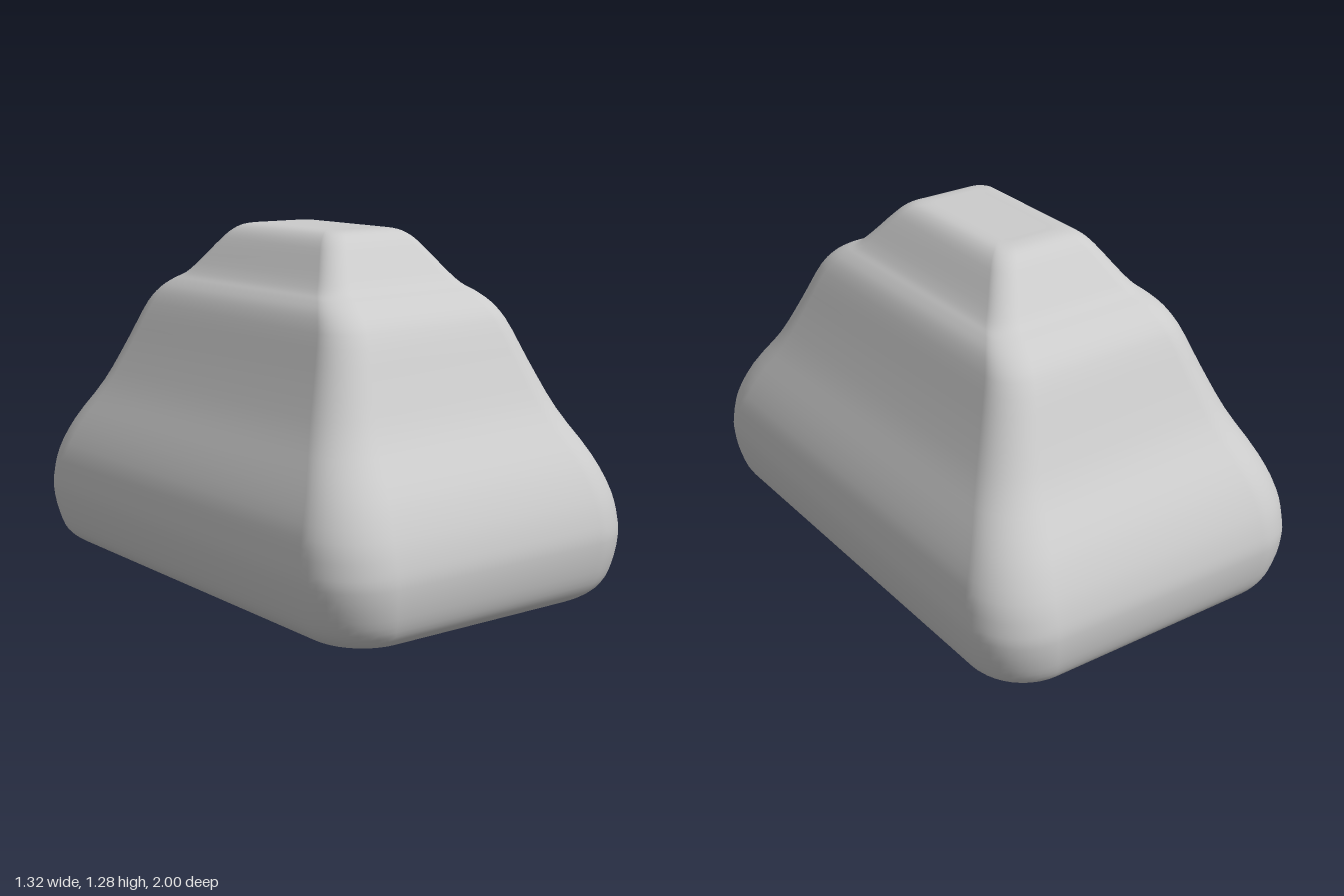
import * as THREE from 'three';

// Profile from base to crown: height, half width, half depth, corner radius
const PROFILE = [
  [0.003, 0.36, 0.72, 0.12], [0.004, 0.44, 0.79, 0.14], [0.012, 0.51, 0.86, 0.16],
  [0.035, 0.57, 0.92, 0.18], [0.075, 0.62, 0.96, 0.2], [0.14, 0.645, 0.985, 0.21],
  [0.24, 0.661, 1, 0.215], [0.3, 0.659, 0.995, 0.215], [0.39, 0.645, 0.97, 0.205],
  [0.51, 0.598, 0.91, 0.185], [0.67, 0.518, 0.79, 0.155], [0.83, 0.452, 0.706, 0.135],
  [0.98, 0.395, 0.63, 0.115], [1.035, 0.366, 0.58, 0.105], [1.07, 0.335, 0.525, 0.09],
  [1.095, 0.307, 0.475, 0.08], [1.135, 0.276, 0.435, 0.075], [1.23, 0.214, 0.353, 0.065],
  [1.26, 0.188, 0.322, 0.06], [1.278, 0.16, 0.288, 0.05], [1.285, 0.125, 0.245, 0.04],
  [1.285, 0.09, 0.21, 0.03],
];
const CORNER = 10; // segments per rounded corner
const STEPS = 3; // rings per profile span

// Smoothly interpolate the profile rows
function sampleProfile() {
  const sizes = new THREE.CatmullRomCurve3(
    PROFILE.map(([y, w, d]) => new THREE.Vector3(w, y, d)), false, 'centripetal');
  const n = (PROFILE.length - 1) * STEPS;
  return Array.from({ length: n + 1 }, (_, i) => {
    const p = sizes.getPoint(i / n);
    const k = Math.min(Math.floor(i / STEPS), PROFILE.length - 2);
    const r = THREE.MathUtils.lerp(PROFILE[k][3], PROFILE[k + 1][3], i / STEPS - k);
    return { y: p.y, w: p.x, d: p.z, r };
  });
}

// Loft rounded rectangles along the profile and cap both ends
function loft(rings) {
  const pos = [], index = [];
  const corners = [[1, 1], [-1, 1], [-1, -1], [1, -1]];
  const n = corners.length * (CORNER + 1);
  for (const { y, w, d, r } of rings) {
    corners.forEach(([sx, sz], q) => {
      for (let k = 0; k <= CORNER; k++) {
        const a = (q + k / CORNER) * Math.PI / 2;
        pos.push(sx * (w - r) + r * Math.cos(a), y, sz * (d - r) + r * Math.sin(a));
      }
    });
  }
  const last = rings.length - 1;
  const bottom = pos.length / 3, top = bottom + 1;
  pos.push(0, rings[0].y, 0, 0, rings[last].y, 0);
  for (let j = 0; j < n; j++) {
    const next = (j + 1) % n;
    for (let i = 0; i < last; i++) {
      const a = i * n + j, b = i * n + next;
      index.push(a, a + n, b, b, a + n, b + n);
    }
    index.push(bottom, j, next, top, last * n + next, last * n + j);
  }
  const geometry = new THREE.BufferGeometry();
  geometry.setAttribute('position', new THREE.Float32BufferAttribute(pos, 3));
  geometry.setIndex(index);
  geometry.computeVertexNormals();
  return geometry;
}

export function createModel() {
  const group = new THREE.Group();
  const body = new THREE.Mesh(
    loft(sampleProfile()), new THREE.MeshStandardMaterial({ color: 0xcccccc }));
  body.name = 'steppedBody';
  group.add(body);
  return group;
}
